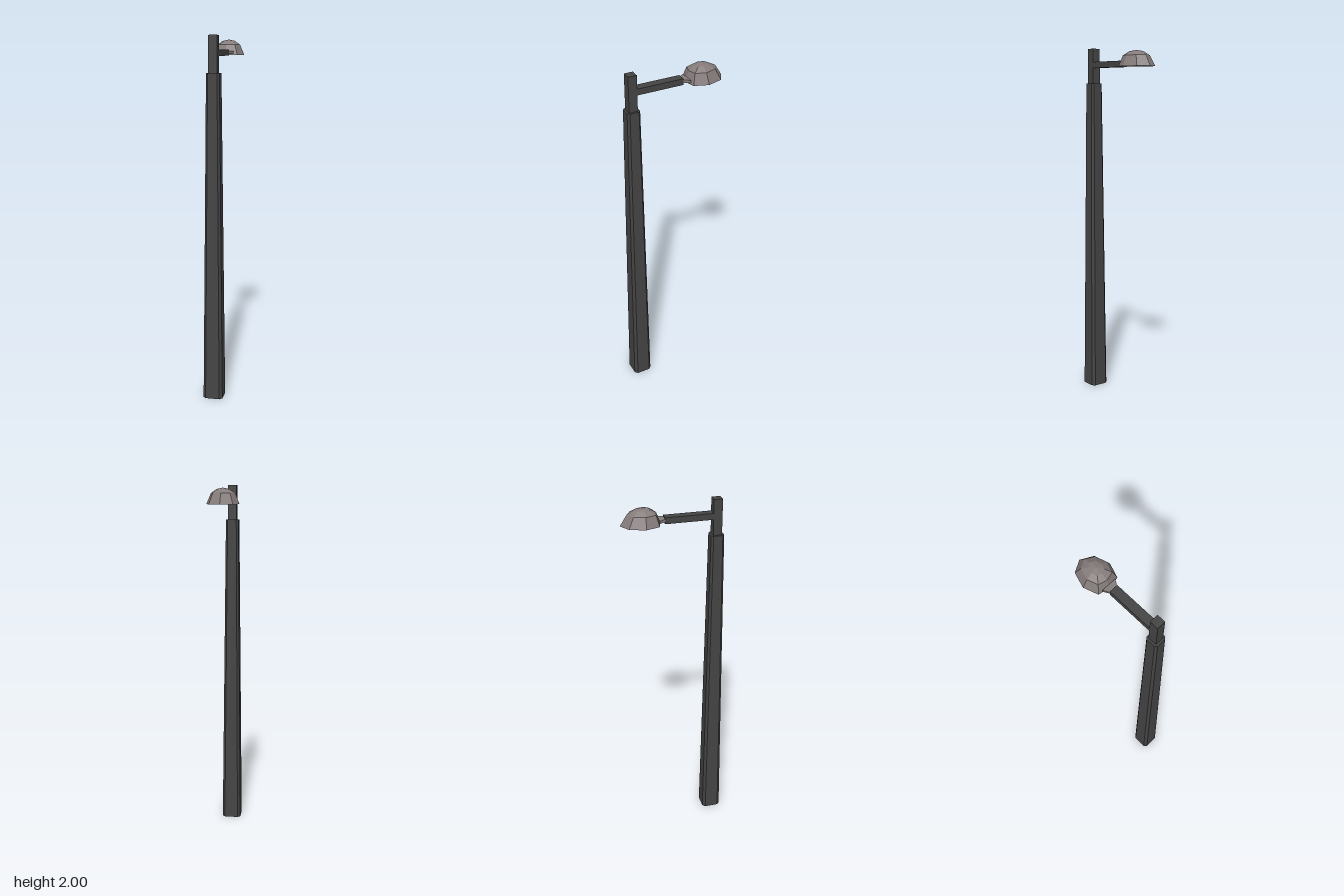
import * as THREE from 'three';

// Closed loft through rings of equal point count, rings running counter-clockwise seen from their far end
function loft(rings, material, name) {
  const pos = [];
  const tri = (a, b, c) => pos.push(...a, ...b, ...c);
  const n = rings[0].length;
  for (let r = 0; r < rings.length - 1; r++) {
    for (let i = 0; i < n; i++) {
      const j = (i + 1) % n;
      tri(rings[r][i], rings[r][j], rings[r + 1][j]);
      tri(rings[r][i], rings[r + 1][j], rings[r + 1][i]);
    }
  }
  const last = rings[rings.length - 1];
  for (let i = 1; i < n - 1; i++) {
    tri(rings[0][0], rings[0][i + 1], rings[0][i]);
    tri(last[0], last[i], last[i + 1]);
  }
  const geometry = new THREE.BufferGeometry();
  geometry.setAttribute('position', new THREE.Float32BufferAttribute(pos, 3));
  geometry.computeVertexNormals();
  const mesh = new THREE.Mesh(geometry, material);
  mesh.name = name;
  return mesh;
}

export function createModel() {
  const group = new THREE.Group();
  group.name = 'streetLamp';
  const dark = new THREE.MeshStandardMaterial({ color: 0x444444, flatShading: true });
  const light = new THREE.MeshStandardMaterial({ color: 0x857b7b, flatShading: true });
  const poleZ = 0.229;

  // Tapered pole with chamfered corners
  const octagon = (h, c, y) => [
    [h, c], [h, -c], [c, -h], [-c, -h], [-h, -c], [-h, c], [-c, h], [c, h],
  ].map(([x, z]) => [x, y, poleZ + z]);
  group.add(loft([octagon(0.054, 0.039, 0), octagon(0.036, 0.025, 1.805)], dark, 'pole'));

  // Square post and horizontal arm
  const box = (w, h, d, y, z, name) => {
    const mesh = new THREE.Mesh(new THREE.BoxGeometry(w, h, d), dark);
    mesh.position.set(0, y, z);
    mesh.name = name;
    group.add(mesh);
  };
  box(0.048, 0.2, 0.048, 1.9, poleZ, 'post');
  box(0.048, 0.034, 0.258, 1.909, 0.076, 'arm');

  // Flared neck between arm and lamp head
  const section = (w, z) => [[w, 1.903, z], [-w, 1.903, z], [-w, 1.918, z], [w, 1.918, z]];
  group.add(loft([section(0.024, -0.053), section(0.042, -0.085)], light, 'neck'));

  // Egg-shaped faceted dome with a flat underside
  const outline = [
    [0.089, 0], [0.063, -0.083], [0, -0.118], [-0.063, -0.083],
    [-0.089, 0], [-0.063, 0.076], [0, 0.092], [0.063, 0.076],
  ];
  const levels = [[1, 0, 0], [0.73, 0.058, 0.005], [0.38, 0.079, 0.003], [0.001, 0.086, 0]];
  const rings = levels.map(([s, h, shift]) =>
    outline.map(([x, z]) => [x * s, 1.894 + h, -0.167 + z * s + shift]));
  group.add(loft(rings, light, 'lampHead'));

  return group;
}
